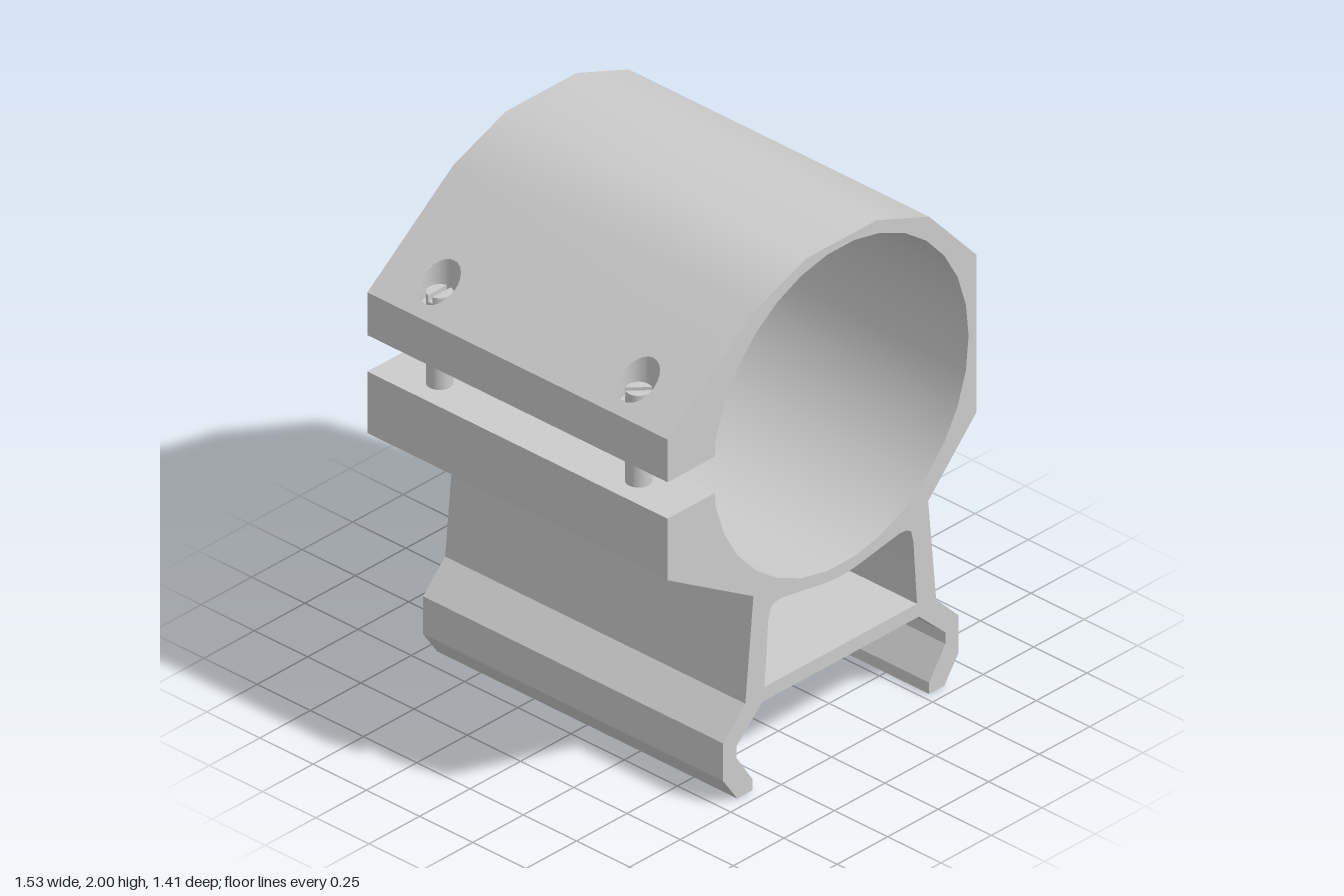
import * as THREE from 'three';
import { mergeGeometries, toCreasedNormals } from 'three/addons/utils/BufferGeometryUtils.js';

const D = 0.705;            // half length along z
const CX = 0.0925;          // symmetry axis of ring and foot
const CY = 1.34, R = 0.633; // ring bore
const SCREW_X = -0.65, SCREW_R = 0.047, BORE_R = 0.073;
const SCREWS = [{ z: -0.475, turn: 0 }, { z: 0.46, turn: -Math.PI / 4 }];
const UP = { a: [-0.765, 1.58], b: [-0.34, 1.9], floor: 1.57 };
const DOWN = { a: [-0.34, 0.77], b: [-0.765, 1.02], floor: 1.05 };

const mirror = pts => pts.map(([x, y]) => [2 * CX - x, y]).reverse();
const slopeY = ({ a, b }, x) => a[1] + (b[1] - a[1]) * (x - a[0]) / (b[0] - a[0]);

// Clockwise outline: ring, foot with two hooked jaws, split clamp ears, bore
function outline() {
  const foot = [[0.525, 0.77], [0.565, 0.36], [0.675, 0.25], [0.675, 0.1], [0.605, 0], [0.53, 0],
    [0.53, 0.045], [0.61, 0.165], [0.61, 0.21], [0.48, 0.33]];
  const bore = [];
  for (let i = 0; i < 29; i++) {
    const t = Math.PI + (i + 1) * Math.PI / 15;
    bore.push([CX + R * Math.cos(t), CY + R * Math.sin(t)]);
  }
  return [[-0.08, 2], [0.27, 2], [0.53, 1.9], [0.765, 1.645], [0.765, 1.02],
    ...foot, ...mirror(foot).slice(0, -1), DOWN.a, DOWN.b, [-0.765, 1.265], [-0.53, 1.265],
    ...bore, [-0.53, 1.41], [-0.765, 1.41], UP.a, UP.b];
}

// Counterclockwise window between ring and foot
function windowOutline() {
  const half = [[0.47, 0.385], [0.452, 0.64], [0.441, 0.685], [0.42, 0.7], [0.385, 0.703], [0.17, 0.667]];
  return [...half, [CX, 0.66], ...mirror(half)];
}

// Rectangular wall swept along z from edge a-b
function wall(a, b) {
  const g = new THREE.BufferGeometry();
  const p = [[...a, D], [...b, D], [...b, -D], [...a, D], [...b, -D], [...a, -D]].flat();
  g.setAttribute('position', new THREE.Float32BufferAttribute(p, 3));
  return g;
}

// Sloped wall pierced by the two screw recesses
function piercedWall(slope, up) {
  const s = up ? -1 : 1;
  const x0 = Math.min(slope.a[0], slope.b[0]), x1 = Math.max(slope.a[0], slope.b[0]);
  const shape = new THREE.Shape([[x0, -D], [x1, -D], [x1, D], [x0, D]].map(p => new THREE.Vector2(...p)));
  for (const { z } of SCREWS) {
    shape.holes.push(new THREE.Path().absarc(SCREW_X, s * z, BORE_R, 0, Math.PI * 2, true));
  }
  const g = new THREE.ShapeGeometry(shape, 24).rotateX(s * Math.PI / 2);
  const p = g.attributes.position;
  for (let i = 0; i < p.count; i++) p.setY(i, slopeY(slope, p.getX(i)));
  return plain(g);
}

// Positions only, unindexed, so pieces can be merged
function plain(geometry) {
  const g = geometry.index ? geometry.toNonIndexed() : geometry;
  g.deleteAttribute('normal');
  g.deleteAttribute('uv');
  return g;
}

function bodyGeometry() {
  const outer = outline(), inner = windowOutline();
  const vec = pts => pts.map(p => new THREE.Vector2(...p));
  const shape = new THREE.Shape(vec(outer));
  shape.holes.push(new THREE.Path(vec(inner)));
  const front = new THREE.ShapeGeometry(shape).translate(0, 0, D);
  const back = front.clone().translate(0, 0, -2 * D);
  back.setIndex([...back.index.array].reverse());
  const parts = [plain(front), plain(back), piercedWall(UP, true), piercedWall(DOWN, false)];
  for (const loop of [outer, inner]) {
    loop.forEach((a, i) => {
      if (a !== UP.a && a !== DOWN.a) parts.push(wall(a, loop[(i + 1) % loop.length]));
    });
  }
  return toCreasedNormals(mergeGeometries(parts), Math.PI / 6);
}

// Recess: vertical tube cut off by the slope, with a flat floor
function addRecess(group, slope, up, z, material) {
  const tube = new THREE.CylinderGeometry(BORE_R, BORE_R, 1, 24, 1, true);
  const p = tube.attributes.position;
  for (let i = 0; i < p.count; i++) {
    const atSlope = (p.getY(i) > 0) === up;
    p.setY(i, atSlope ? slopeY(slope, SCREW_X + p.getX(i)) : slope.floor);
  }
  const floor = new THREE.CircleGeometry(BORE_R, 24).rotateX(up ? -Math.PI / 2 : Math.PI / 2);
  floor.translate(0, slope.floor, 0);
  for (const [g, name] of [[tube, 'recessWall'], [floor, 'recessFloor']]) {
    const m = new THREE.Mesh(g, material);
    m.name = name;
    m.position.set(SCREW_X, 0, z);
    group.add(m);
  }
}

// Screw: shank plus two half-round lips that leave the driver slot
function makeScrew(material) {
  const screw = new THREE.Group();
  screw.name = 'clampScrew';
  const y0 = 1.01, y1 = 1.605, lip = 0.025, gap = 0.01;
  const shank = new THREE.Mesh(new THREE.CylinderGeometry(SCREW_R, SCREW_R, y1 - y0, 24), material);
  shank.name = 'shank';
  shank.position.y = (y0 + y1) / 2;
  screw.add(shank);
  const t = Math.asin(gap / SCREW_R);
  const half = new THREE.Shape().absarc(0, 0, SCREW_R, t, Math.PI - t, false);
  const lipGeo = new THREE.ExtrudeGeometry(half, { depth: lip, bevelEnabled: false, curveSegments: 16 });
  lipGeo.rotateX(-Math.PI / 2);
  for (const turn of [0, Math.PI]) {
    const m = new THREE.Mesh(lipGeo, material);
    m.name = 'headHalf';
    m.position.y = y1;
    m.rotation.y = turn;
    screw.add(m);
  }
  return screw;
}

export function createModel() {
  const model = new THREE.Group();
  model.name = 'ringMount';
  const grey = new THREE.MeshStandardMaterial({ color: 0xcccccc });
  const greyDouble = new THREE.MeshStandardMaterial({ color: 0xcccccc, side: THREE.DoubleSide });

  const body = new THREE.Mesh(bodyGeometry(), grey);
  body.name = 'clampBody';
  model.add(body);

  for (const { z, turn } of SCREWS) {
    addRecess(model, UP, true, z, greyDouble);
    addRecess(model, DOWN, false, z, greyDouble);
    const screw = makeScrew(grey);
    screw.position.set(SCREW_X, 0, z);
    screw.rotation.y = turn;
    model.add(screw);
  }
  return model;
}
